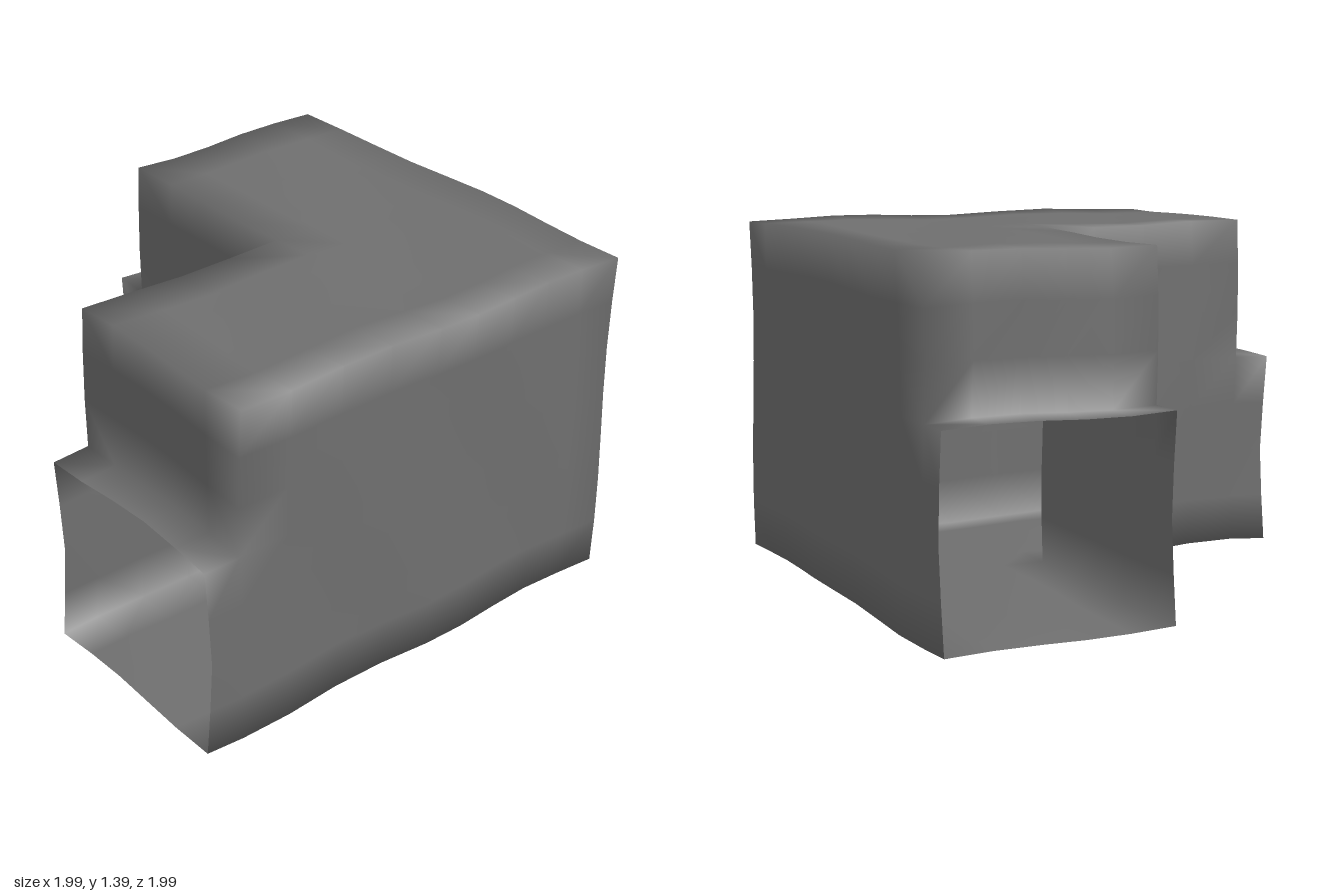
import * as THREE from 'three';

// Grid lines of the hollow corner passage; x and z share the same lines
const H = [-0.98, -0.835, -0.62, -0.39, -0.16, 0.07, 0.25, 0.43, 0.61, 0.8, 0.985];
const V = [0.014, 0.2, 0.4, 0.6, 0.8, 1.0, 1.2, 1.38];
const LINES = [H, V, H];
const LEDGE_ROW = 4;   // rows below this reach the open mouths
const CORNER = 5;      // line of the inside corner

// Is the grid cell inside the L-shaped passage?
function inside(cell) {
  if (cell.some((n, axis) => n < 0 || n >= LINES[axis].length - 1)) return false;
  const [i, j, k] = cell;
  if (i < CORNER && k < CORNER) return false;
  return j < LEDGE_ROW || (i > 0 && k > 0);
}

// Slightly uneven surface, with mouth rims bowed inward
function place([i, j, k]) {
  const x = H[i], y = V[j], z = H[k];
  const wave = (a, b) => 0.007 * Math.sin(7 * a + 4 * b);
  const bow = (across) => 0.008 * Math.cos(2 * Math.PI * y / 0.8) + 0.006 * Math.cos(7 * (across - 0.07));
  const p = [x + wave(z, y), y + wave(x, z), z + wave(x, y)];
  if (i === 0) p[0] -= bow(z);
  if (k === 0) p[2] -= bow(x);
  // Outer bottom and top edges turn out into a thin lip
  const atEdge = (n) => n === 0 || n === H.length - 1;
  if (atEdge(i) || atEdge(k)) p[1] += j === 0 ? -0.007 : j === V.length - 1 ? 0.006 : 0;
  return p;
}

// Skin of all filled cells, leaving the two mouths open
function passageGeometry() {
  const positions = [], index = [], known = new Map();
  const vertex = (c) => {
    const key = c.join();
    if (!known.has(key)) {
      known.set(key, positions.length / 3);
      positions.push(...place(c));
    }
    return known.get(key);
  };
  for (let i = 0; i < H.length - 1; i++)
    for (let j = 0; j < V.length - 1; j++)
      for (let k = 0; k < H.length - 1; k++) {
        const cell = [i, j, k];
        if (!inside(cell)) continue;
        for (let axis = 0; axis < 3; axis++)
          for (const dir of [-1, 1]) {
            const next = cell.slice();
            next[axis] += dir;
            const mouth = axis !== 1 && next[axis] < 0;
            if (inside(next) || mouth) continue;
            const u = (axis + 1) % 3, v = (axis + 2) % 3;
            const corners = [[0, 0], [1, 0], [1, 1], [0, 1]].map(([a, b]) => {
              const c = cell.slice();
              if (dir > 0) c[axis]++;
              c[u] += a;
              c[v] += b;
              return vertex(c);
            });
            if (dir < 0) corners.reverse();
            const [a, b, c, d] = corners;
            index.push(a, b, c, a, c, d);
          }
      }
  const geometry = new THREE.BufferGeometry();
  geometry.setAttribute('position', new THREE.Float32BufferAttribute(positions, 3));
  geometry.setIndex(index);
  geometry.computeVertexNormals();
  return geometry;
}

export function createModel() {
  const group = new THREE.Group();
  group.name = 'cornerPassage';
  const material = new THREE.MeshStandardMaterial({ color: 0x6f6f6f, side: THREE.DoubleSide });
  const shell = new THREE.Mesh(passageGeometry(), material);
  shell.name = 'passageShell';
  group.add(shell);
  return group;
}
